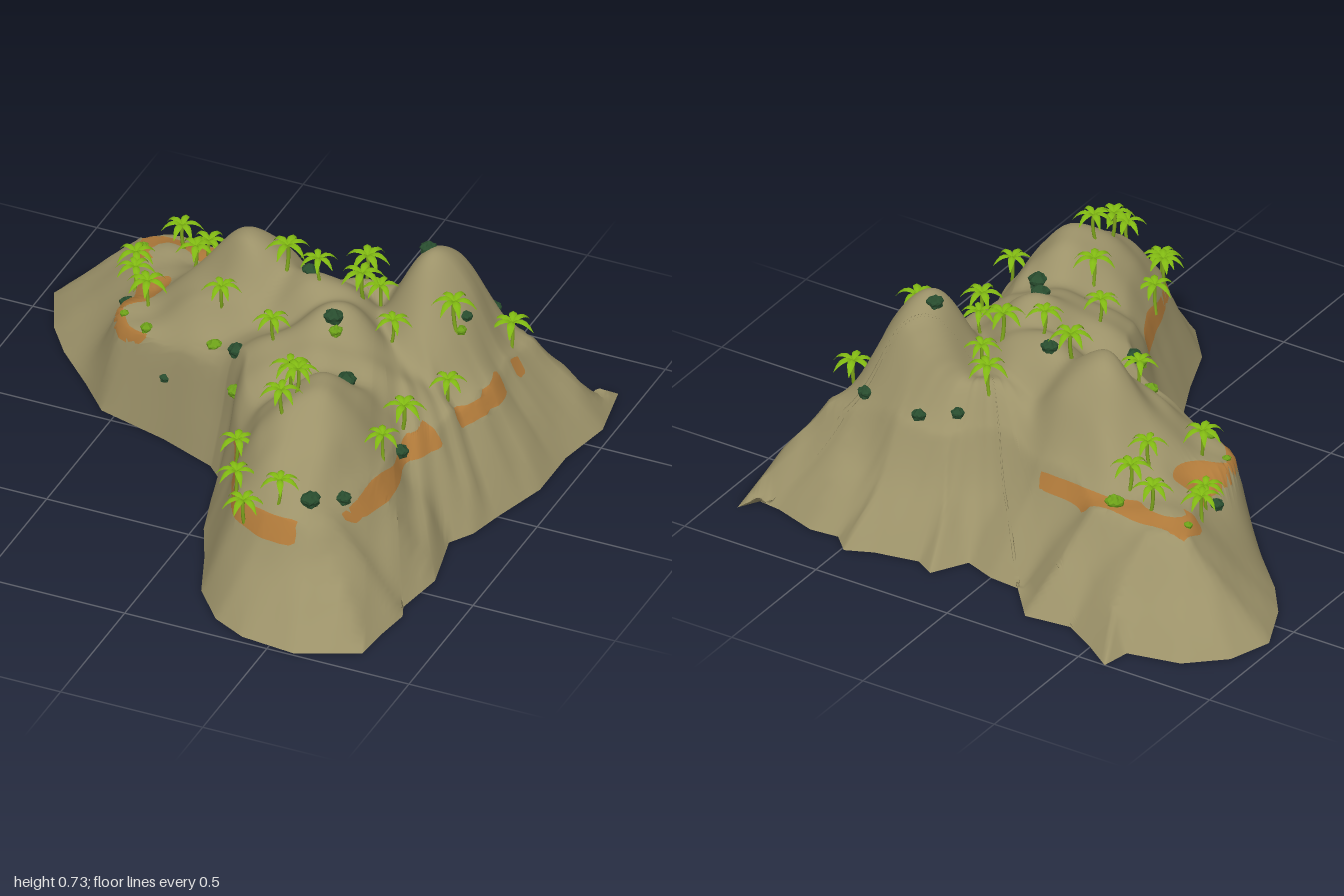
import * as THREE from 'three';
import { mergeGeometries } from 'three/addons/utils/BufferGeometryUtils.js';

const mat = (name, color, side = THREE.FrontSide) => {
  const m = new THREE.MeshStandardMaterial({ color, side });
  m.name = name;
  return m;
};

// Coastline as x, z pairs, from the west tip round by the back
const COAST = [
  -0.97, -0.6, -0.92, -0.75, -0.8, -0.86, -0.62, -0.9, -0.6, -1, -0.5, -0.93, -0.38, -0.86, -0.22, -0.88,
  -0.12, -0.75, 0, -0.74, 0.11, -0.7, 0.18, -0.82, 0.25, -0.78, 0.4, -0.81, 0.49, -0.85,
  0.55, -0.79, 0.65, -0.8, 0.8, -0.75, 0.88, -0.74, 0.92, -0.81, 0.96, -0.6, 0.92, -0.4,
  0.92, -0.2, 0.86, 0, 0.83, 0.12, 0.78, 0.2, 0.81, 0.33, 0.83, 0.42, 0.8, 0.6, 0.82, 0.65, 0.8, 0.78, 0.79, 0.9,
  0.59, 0.99, 0.4, 0.97, 0.28, 0.91, 0.17, 0.78, 0.1, 0.6, 0.03, 0.45, -0.02, 0.28,
  -0.05, 0.16, -0.1, 0.11, -0.3, 0.03, -0.55, -0.04, -0.66, -0.16, -0.8, -0.3, -0.89, -0.42,
];
const N = COAST.length / 2;
const coast = (i) => [COAST[(i % N) * 2], COAST[(i % N) * 2 + 1]];

// Hills: x, z, height above the shelf, spread in x and z
const HILLS = [
  [0.49, -0.36, 0.42, 0.13, 0.17],
  [-0.13, -0.29, 0.355, 0.16, 0.15],
  [0.39, 0.37, 0.31, 0.16, 0.22],
  [0.14, -0.22, 0.3, 0.2, 0.13],
  [0.2, -0.42, 0.2, 0.2, 0.11],
  [0.27, -0.07, 0.32, 0.13, 0.13],
  [0.25, 0.04, 0.26, 0.25, 0.2],
  [-0.5, -0.4, 0.03, 0.2, 0.2],
];
// Places where the shore climbs faster or slower: x, z, change, spread in x and z
const SLOPES = [
  [-0.3, 0.03, 5, 0.14, 0.08],
  [-0.53, -0.09, 2.2, 0.13, 0.1],
  [0, 0.16, 2.6, 0.13, 0.13],
  [0.17, 0.6, 1.1, 0.15, 0.2],
  [0.78, 0.2, 0.4, 0.13, 0.14],
  [0.85, 0, 0.25, 0.15, 0.5],
  [0.55, 0.88, -0.15, 0.2, 0.12],
  [-0.8, -0.55, -0.27, 0.22, 0.3],
];
const clamp01 = (v) => Math.min(1, Math.max(0, v));
const bell = (x, z, cx, cz, sx, sz) => Math.exp(-((x - cx) ** 2 / sx ** 2 + (z - cz) ** 2 / sz ** 2) / 2);

function shoreDistance(x, z) {
  let best = 9;
  for (let i = 0; i < N; i++) {
    const [ax, az] = coast(i), [bx, bz] = coast(i + 1);
    const dx = bx - ax, dz = bz - az;
    const t = clamp01(((x - ax) * dx + (z - az) * dz) / (dx * dx + dz * dz));
    best = Math.min(best, Math.hypot(x - ax - t * dx, z - az - t * dz));
  }
  return best;
}

function height(x, z) {
  const steep = SLOPES.reduce((s, [cx, cz, k, sx, sz]) => s + k * bell(x, z, cx, cz, sx, sz), 1);
  const d = shoreDistance(x, z) * steep;
  const hill = HILLS.reduce((s, [cx, cz, h, sx, sz]) => s + (h * bell(x, z, cx, cz, sx, sz)) ** 6, 0) ** (1 / 6);
  const rise = clamp01((d - 0.13) / 0.2);
  // gullies on the east slopes and small bumps on the tops
  const a = Math.atan2(z + 0.3, x - 0.3);
  const gully = (Math.sin(a * 23) + Math.sin(a * 41 + 2) * 0.7) * 0.012 * bell(x, z, 0.8, 0.2, 0.35, 0.7)
    * clamp01(d / 0.08) * clamp01((0.4 - d) / 0.2);
  const bump = Math.sin(x * 23 + z * 9) * Math.sin(z * 27 - x * 7) * 0.01 * clamp01(d / 0.2);
  return 0.3 * clamp01(d / 0.22) + hill * rise * rise * (3 - 2 * rise) + gully + bump;
}

// Patches of bare earth: plan areas (x and z limits) crossed by one contour band; positive inside
const PATCHES = [
  [-0.66, -0.06, -0.62, -0.48], [-0.64, -0.38, -0.38, -0.05], [0.05, 0.5, 0.32, 1],
  [0.5, 0.9, 0.06, 0.62], [0.5, 0.9, -0.31, -0.05], [0.5, 0.9, -0.44, -0.39],
];
function earthField(x, y, z) {
  const area = Math.max(...PATCHES.map(([x0, x1, z0, z1]) => Math.min(x - x0, x1 - x, z - z0, z1 - z)));
  return Math.min(area, y - 0.265, 0.33 + 0.017 * Math.cos(17 * (z - 0.06)) - y);
}

function terrainGeometry() {
  const SUB = 5, RINGS = 64, M = N * SUB, cx = 0.3, cz = -0.3;
  const pos = [], field = [], rock = [], earth = [], cuts = new Map();
  const vertex = (x, y, z, f) => {
    pos.push(x, y, z);
    return field.push(f) - 1;
  };
  const ground = (x, y, z) => vertex(x, y, z, earthField(x, y, z));
  ground(cx, height(cx, cz), cz);
  for (let r = 1; r <= RINGS; r++) {
    const t = r / RINGS;
    for (let j = 0; j < M; j++) {
      const [ax, az] = coast(Math.floor(j / SUB)), [bx, bz] = coast(Math.floor(j / SUB) + 1);
      const f = (j % SUB) / SUB;
      const x = cx + (ax + (bx - ax) * f - cx) * t, z = cz + (az + (bz - az) * f - cz) * t;
      ground(x, r === RINGS ? 0 : Math.max(0, height(x, z)), z);
    }
  }
  // shared vertex where the patch edge crosses a triangle side
  const cut = (a, b) => {
    const key = Math.min(a, b) + '_' + Math.max(a, b);
    if (!cuts.has(key)) {
      const t = field[a] / (field[a] - field[b]);
      const p = [0, 1, 2].map((k) => pos[a * 3 + k] + (pos[b * 3 + k] - pos[a * 3 + k]) * t);
      cuts.set(key, vertex(...p, 0));
    }
    return cuts.get(key);
  };
  const tri = (...v) => {
    const inside = v.map((i) => field[i] > 0);
    const count = inside.filter(Boolean).length;
    if (count % 3 === 0) {
      (count ? earth : rock).push(...v);
      return;
    }
    const s = inside.indexOf(count === 1);
    const [a, b, c] = [v[s], v[(s + 1) % 3], v[(s + 2) % 3]];
    const p = cut(a, b), q = cut(a, c);
    (count === 1 ? earth : rock).push(a, p, q);
    (count === 1 ? rock : earth).push(p, b, c, p, c, q);
  };
  const at = (r, j) => 1 + (r - 1) * M + (j % M);
  for (let j = 0; j < M; j++) {
    tri(0, at(1, j + 1), at(1, j));
    for (let r = 1; r < RINGS; r++) {
      tri(at(r, j), at(r, j + 1), at(r + 1, j + 1));
      tri(at(r, j), at(r + 1, j + 1), at(r + 1, j));
    }
  }
  const g = new THREE.BufferGeometry();
  g.setAttribute('position', new THREE.Float32BufferAttribute(pos, 3));
  g.setIndex([...rock, ...earth]);
  g.addGroup(0, rock.length, 0);
  g.addGroup(rock.length, earth.length, 1);
  g.computeVertexNormals();
  return g;
}

// One arching frond, folded along its rib
function frondGeometry() {
  const g = new THREE.PlaneGeometry(1, 1, 2, 5);
  const p = g.attributes.position;
  for (let i = 0; i < p.count; i++) {
    const s = p.getX(i) * 2, t = p.getY(i) + 0.5;
    const w = 0.012 * Math.sin(Math.PI * (0.12 + 0.86 * t));
    p.setXYZ(i, s * w, 0.088 + 0.085 * t - 0.105 * t * t - Math.abs(s) * w * 0.6, 0.07 * t);
  }
  g.index.array.reverse();
  g.computeVertexNormals();
  return g;
}

export function createModel() {
  const model = new THREE.Group();
  const rock = mat('sandy rock', 0x9c9269, THREE.DoubleSide);
  const earth = mat('orange earth', 0xb07a3a, THREE.DoubleSide);
  const frondGreen = mat('frond green', 0x80b812, THREE.DoubleSide);
  const trunkGreen = mat('trunk green', 0x80a81c);
  const darkGreen = mat('dark bush green', 0x284c2e);
  const leafGreen = mat('light bush green', 0x6ca018);
  const add = (parent, name, geo, material) => {
    const m = new THREE.Mesh(geo, material);
    m.name = name;
    parent.add(m);
    return m;
  };

  add(model, 'island', terrainGeometry(), [rock, earth]);

  // Palms
  const crown = mergeGeometries([0, 1, 2, 3, 4, 5].map((i) =>
    frondGeometry().rotateY((i * Math.PI) / 3 + 0.2 * Math.sin(i * 5))));
  const curve = new THREE.QuadraticBezierCurve3(
    new THREE.Vector3(0.008, -0.02, 0), new THREE.Vector3(-0.008, 0.04, 0), new THREE.Vector3(0, 0.09, 0));
  const trunk = new THREE.TubeGeometry(curve, 5, 0.006, 6);
  const PALMS = [
    [-0.5, -0.56], [-0.61, -0.44], [-0.58, -0.37], [-0.38, -0.5], [-0.38, -0.4], [-0.46, -0.2], [-0.16, -0.11],
    [0.01, -0.25], [0.14, -0.2], [0.21, -0.43], [0.31, -0.31], [0.28, -0.23], [0.43, -0.14], [0.6, -0.24],
    [0.65, -0.08], [0.71, -0.45], [0.1, 0.07], [0.59, 0.13], [0.61, 0.34], [0.26, 0.28], [0.34, 0.4],
    [0.32, 0.49], [0.17, 0.5], [0.24, 0.66], [0.3, 0.74], [0.42, 0.72],
  ];
  PALMS.forEach(([x, z], i) => {
    const palm = new THREE.Group();
    palm.name = 'palm';
    add(palm, 'trunk', trunk, trunkGreen);
    add(palm, 'fronds', crown, frondGreen);
    palm.position.set(x, height(x, z), z);
    palm.rotation.y = i * 2.4;
    palm.scale.setScalar(1 + 0.08 * Math.sin(i * 3));
    model.add(palm);
  });

  // Bushes: lumpy balls sunk into the ground
  const lump = new THREE.IcosahedronGeometry(1, 2);
  const lp = lump.attributes.position;
  for (let i = 0; i < lp.count; i++) {
    const [x, y, z] = [lp.getX(i), lp.getY(i), lp.getZ(i)];
    const k = 1 + 0.16 * Math.sin(x * 5 + 1) * Math.cos(z * 6) + 0.1 * Math.sin(y * 7);
    lp.setXYZ(i, x * k, y * k, z * k);
  }
  lump.computeVertexNormals();
  const bush = (material) => ([x, z, r], i) => {
    const b = add(model, 'bush', lump, material);
    b.position.set(x, height(x, z) + r * 0.1, z);
    b.scale.set(r, r * 0.85, r * 0.9);
    b.rotation.y = i * 1.9;
  };
  [
    [0.09, -0.25, 0.027], [0.28, -0.5, 0.022], [0.39, -0.56, 0.023], [0.6, -0.55, 0.025], [0.45, -0.37, 0.027],
    [0.28, -0.01, 0.03], [0.41, 0.18, 0.032], [0.61, 0.21, 0.028], [0.58, 0.58, 0.026], [0.51, 0.68, 0.032],
    [-0.31, 0, 0.016], [-0.03, 0.06, 0.028], [-0.58, -0.31, 0.025], [0.62, -0.29, 0.02],
  ].forEach(bush(darkGreen));
  [
    [-0.37, -0.58, 0.03], [-0.41, -0.08, 0.02], [-0.14, -0.01, 0.024], [0.01, 0.16, 0.026], [0.3, 0.02, 0.022],
    [-0.63, -0.55, 0.014], [0.62, -0.25, 0.018], [-0.52, -0.15, 0.014],
  ].forEach(bush(leafGreen));

  return model;
}
